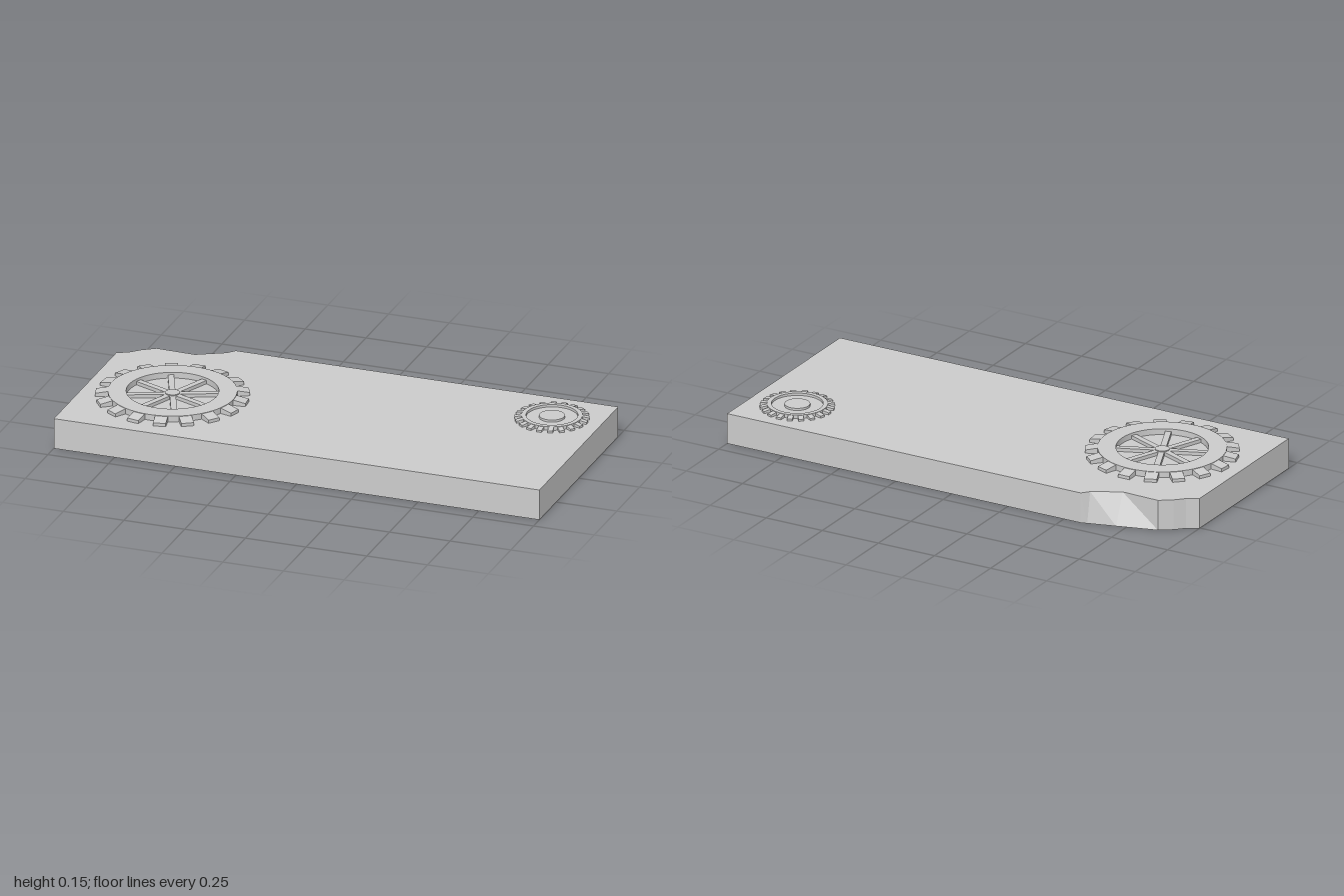
import * as THREE from 'three';

const material = new THREE.MeshStandardMaterial({ color: 0xcccccc, flatShading: true });
const TOP = 0.125;

function addMesh(parent, name, geometry) {
  const mesh = new THREE.Mesh(geometry, material);
  mesh.name = name;
  parent.add(mesh);
  return mesh;
}

// Slab with a chipped back corner; the chip undercuts the top edge only
function slabGeometry() {
  const outline = [
    [-1, 0.435], [1, 0.435], [1, -0.435], [-0.575, -0.435], [-0.6, -0.405],
    [-0.71, -0.345], [-0.87, -0.35], [-0.92, -0.315], [-0.955, -0.28], [-1, -0.255],
  ];
  const shape = new THREE.Shape(outline.map(([x, z]) => new THREE.Vector2(x, -z)));
  const geo = new THREE.ExtrudeGeometry(shape, { depth: TOP, bevelEnabled: false });
  geo.rotateX(-Math.PI / 2);
  const p = geo.attributes.position;
  for (let i = 0; i < p.count; i++) {
    const x = p.getX(i), z = p.getZ(i);
    // along the chip, the lower edge runs straight
    if (p.getY(i) < 0.01 && z < -0.3 && x > -0.8 && x < -0.58) {
      p.setZ(i, -0.35 - (x + 0.87) * 0.288);
    }
  }
  geo.computeVertexNormals();
  return geo;
}

// Flat ring standing on the slab
function ringGeometry(outer, inner, height) {
  const shape = new THREE.Shape().absarc(0, 0, outer, 0, Math.PI * 2);
  shape.holes.push(new THREE.Path().absarc(0, 0, inner, 0, Math.PI * 2, true));
  const geo = new THREE.ExtrudeGeometry(shape, { depth: height, bevelEnabled: false, curveSegments: 48 });
  return geo.rotateX(-Math.PI / 2);
}

// Tooth whose top slopes down towards its tip
function toothGeometry(root, tip, width, height, tipHeight) {
  const inner = root - 0.01;
  const geo = new THREE.BoxGeometry(width, height, tip - inner);
  geo.translate(0, height / 2, -(tip + inner) / 2);
  const p = geo.attributes.position;
  for (let i = 0; i < p.count; i++) {
    if (p.getY(i) > height / 2 && p.getZ(i) < -root) p.setY(i, tipHeight);
  }
  geo.computeVertexNormals();
  return geo;
}

function makeGear(name, { x, z, root, tip, inner, hub, teeth, toothWidth, height, tipHeight, hubHeight }) {
  const gear = new THREE.Group();
  gear.name = name;
  gear.position.set(x, TOP, z);
  addMesh(gear, 'gearRing', ringGeometry(root, inner, height));
  const tooth = toothGeometry(root, tip, toothWidth, height, tipHeight);
  for (let i = 0; i < teeth; i++) {
    addMesh(gear, 'tooth', tooth).rotation.y = -(i / teeth) * Math.PI * 2;
  }
  addMesh(gear, 'hub', new THREE.CylinderGeometry(hub, hub, hubHeight, 32)).position.y = hubHeight / 2;
  return gear;
}

export function createModel() {
  const model = new THREE.Group();
  model.name = 'gearSlab';
  addMesh(model, 'slab', slabGeometry());

  // Large spoked gear
  const large = makeGear('largeGear', {
    x: -0.647, z: 0.07, root: 0.25, tip: 0.298, inner: 0.179, hub: 0.028,
    teeth: 17, toothWidth: 0.05, height: 0.024, tipHeight: 0.013, hubHeight: 0.018,
  });
  const spoke = new THREE.BoxGeometry(0.024, 0.014, 0.165).translate(0, 0.007, -0.1);
  for (let i = 0; i < 8; i++) {
    addMesh(large, 'spoke', spoke).rotation.y = -(i + 0.5) * Math.PI / 4;
  }
  model.add(large);

  // Small gear with a sunken disc around its hub
  const small = makeGear('smallGear', {
    x: 0.8, z: -0.24, root: 0.118, tip: 0.145, inner: 0.1, hub: 0.05,
    teeth: 20, toothWidth: 0.021, height: 0.015, tipHeight: 0.008, hubHeight: 0.014,
  });
  addMesh(small, 'sunkenDisc', new THREE.CylinderGeometry(0.1, 0.1, 0.005, 48)).position.y = 0.0025;
  model.add(small);

  return model;
}
